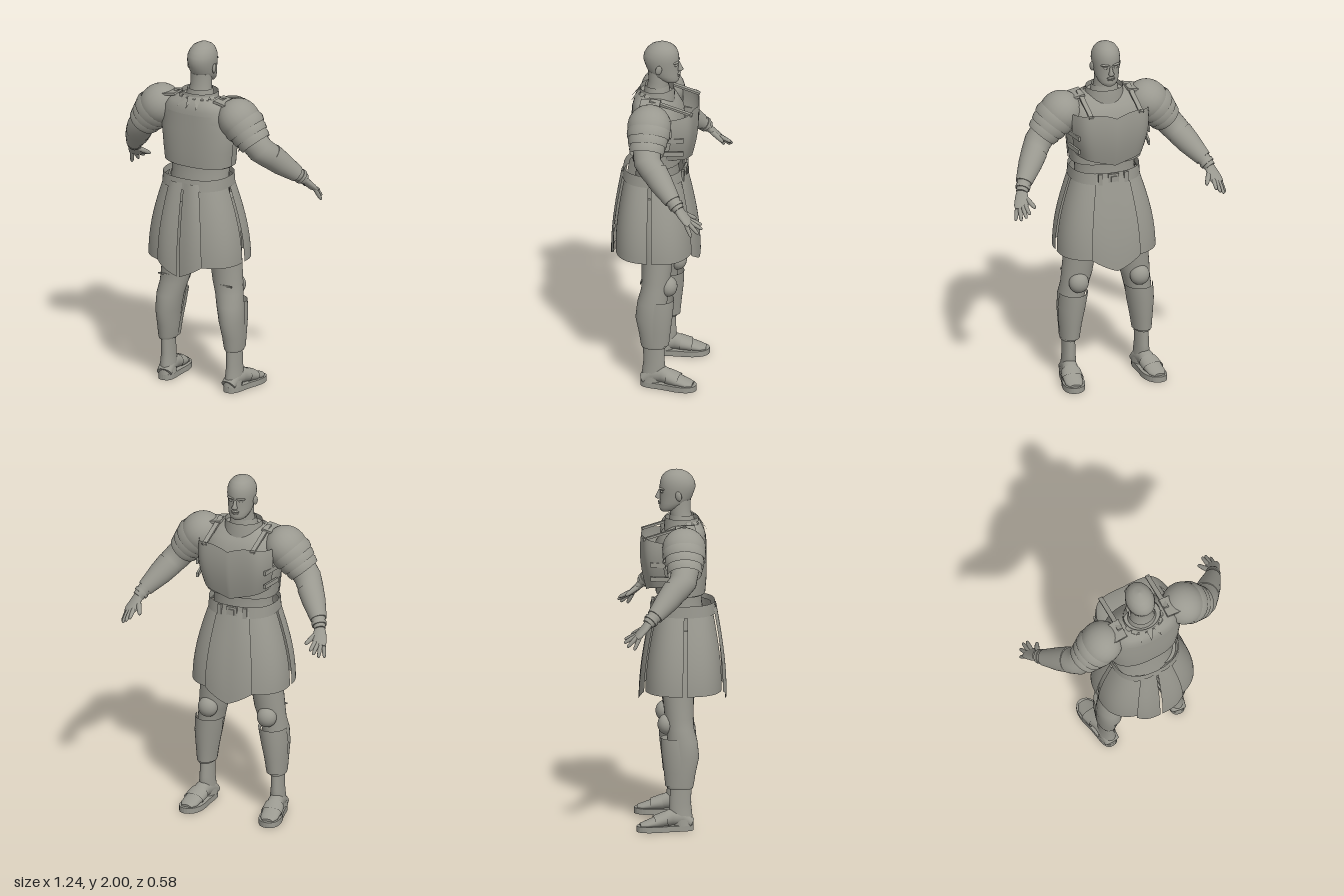
import * as THREE from 'three';

const armour = new THREE.MeshStandardMaterial({ color: 0x9a9990, side: THREE.DoubleSide });
armour.name = 'stone grey';

function part(name, geometry, pos = [0, 0, 0], scale = [1, 1, 1], rot = [0, 0, 0]) {
  const m = new THREE.Mesh(geometry, armour);
  m.name = name;
  m.position.set(...pos); m.scale.set(...scale); m.rotation.set(...rot);
  return m;
}

// Skin through elliptical sections [x, y, z, r1, r2]; level rings, or rings square to the path.
function loft(name, secs, { path = false, n = 28, e = 2, a0 = 0, a1 = Math.PI * 2, caps = true } = {}) {
  const full = a1 - a0 > 6.28, cols = full ? n : n + 1;
  const pos = [], idx = [], up = new THREE.Vector3(0, 1, 0);
  const at = i => new THREE.Vector3(...secs[Math.max(0, Math.min(secs.length - 1, i))].slice(0, 3));
  const pw = v => Math.sign(v) * Math.abs(v) ** (2 / e);
  secs.forEach((s, i) => {
    let A = new THREE.Vector3(1, 0, 0), B = new THREE.Vector3(0, 0, 1);
    if (path) {
      const t = at(i + 1).sub(at(i - 1)).normalize();
      A = t.clone().cross(up).normalize();
      B = A.clone().cross(t);
    }
    for (let j = 0; j < cols; j++) {
      const a = a0 + (a1 - a0) * j / n;
      const p = at(i).addScaledVector(A, s[3] * pw(Math.cos(a))).addScaledVector(B, (s[4] ?? s[3]) * pw(Math.sin(a)));
      pos.push(p.x, p.y, p.z);
    }
  });
  for (let i = 0; i < secs.length - 1; i++) for (let j = 0; j < n; j++) {
    const k = (j + 1) % cols, a = i * cols + j, b = i * cols + k;
    idx.push(a, a + cols, b, b, a + cols, b + cols);
  }
  if (caps && full) for (const i of [0, secs.length - 1]) {
    const c = pos.length / 3;
    pos.push(...at(i).toArray(), ...pos.slice(i * cols * 3, (i + 1) * cols * 3));
    for (let j = 0; j < n; j++) {
      const p = c + 1 + j, q = c + 1 + (j + 1) % n;
      i ? idx.push(c, q, p) : idx.push(c, p, q);
    }
  }
  return part(name, mesh(pos, idx));
}

function mesh(pos, idx) {
  const g = new THREE.BufferGeometry();
  g.setAttribute('position', new THREE.Float32BufferAttribute(pos, 3));
  g.setIndex(idx);
  g.computeVertexNormals();
  return g;
}

// Open plate from a rule f(u, v) -> [x, y, z]
function sheet(name, f, nu = 20, nv = 12) {
  const pos = [], idx = [];
  for (let i = 0; i <= nv; i++) for (let j = 0; j <= nu; j++) pos.push(...f(j / nu, i / nv));
  for (let i = 0; i < nv; i++) for (let j = 0; j < nu; j++) {
    const a = i * (nu + 1) + j, b = a + nu + 1;
    idx.push(a, b, a + 1, a + 1, b, b + 1);
  }
  return part(name, mesh(pos, idx));
}

const sphere = new THREE.SphereGeometry(1, 24, 16);
const box = new THREE.BoxGeometry(1, 1, 1);

function makeHead() {
  const g = new THREE.Group();
  g.name = 'head';
  g.add(loft('skull', [
    [0, 1.762, -0.045, 0.022, 0.02], [0, 1.772, -0.035, 0.042, 0.04], [0, 1.79, -0.018, 0.057, 0.062],
    [0, 1.815, 0.002, 0.066, 0.079], [0, 1.84, 0.012, 0.071, 0.089], [0, 1.87, 0.018, 0.075, 0.094],
    [0, 1.9, 0.022, 0.079, 0.1], [0, 1.93, 0.021, 0.078, 0.097], [0, 1.958, 0.018, 0.069, 0.085],
    [0, 1.98, 0.016, 0.053, 0.064], [0, 1.993, 0.015, 0.031, 0.038], [0, 2, 0.015, 0.002, 0.002]]));
  g.add(loft('neck', [[0, 1.62, 0.06, 0.085, 0.07], [0, 1.72, 0.045, 0.066, 0.06], [0, 1.77, 0.035, 0.06, 0.058], [0, 1.83, 0.035, 0.06, 0.06]]));
  g.add(loft('nose', [[0, 1.835, -0.082, 0.014, 0.013], [0, 1.843, -0.085, 0.017, 0.019],
    [0, 1.858, -0.08, 0.01, 0.016], [0, 1.886, -0.073, 0.007, 0.01]], { n: 12 }));
  g.add(part('upperLip', sphere, [0, 1.818, -0.077], [0.024, 0.006, 0.011]));
  g.add(part('lowerLip', sphere, [0, 1.807, -0.075], [0.02, 0.006, 0.011]));
  for (const s of [-1, 1]) {
    g.add(part('ear', sphere, [s * 0.078, 1.86, 0.025], [0.01, 0.028, 0.018], [-0.2, s * 0.3, 0]));
    g.add(part('brow', sphere, [s * 0.03, 1.893, -0.066], [0.026, 0.007, 0.012], [0, s * -0.35, 0]));
    g.add(part('eye', sphere, [s * 0.03, 1.877, -0.066], [0.014, 0.007, 0.008], [0, s * -0.35, 0]));
  }
  return g;
}

function makeTorso() {
  const g = new THREE.Group();
  g.name = 'torso';
  g.add(loft('waist', [[0, 1.1, 0.05, 0.18, 0.13], [0, 1.26, 0.04, 0.172, 0.115], [0, 1.34, 0.035, 0.18, 0.12]]));
  g.add(loft('cuirass', [[0, 1.31, 0.035, 0.2, 0.135], [0, 1.4, 0.035, 0.208, 0.14], [0, 1.5, 0.035, 0.224, 0.142],
    [0, 1.58, 0.04, 0.216, 0.14], [0, 1.64, 0.055, 0.2, 0.12], [0, 1.675, 0.065, 0.165, 0.1], [0, 1.7, 0.065, 0.115, 0.08]], { e: 2.5, n: 40 }));
  g.add(loft('backPlate', [[0, 1.315, 0.04, 0.206, 0.135], [0, 1.4, 0.04, 0.214, 0.142],
    [0, 1.52, 0.04, 0.226, 0.142], [0, 1.62, 0.045, 0.2, 0.135]], { e: 2.5, a0: 0.05, a1: Math.PI - 0.05 }));
  // keeled breastplate with a scalloped neckline and V-shaped hem
  g.add(sheet('breastplate', (s, v) => {
    const u = s * 2 - 1, w = Math.abs(u);
    const low = 1.32 + 0.05 * w, high = 1.615 + 0.03 * Math.abs(Math.sin(u * Math.PI * 0.9));
    return [u * (0.195 + 0.03 * Math.sin(v * 2.2)), low + (high - low) * v,
      -0.137 - 0.05 * Math.sin(0.3 + v * 1.7) + 0.02 * w + 0.1 * w ** 8];
  }, 40, 14));
  g.add(loft('collar', [[0, 1.64, 0.05, 0.12, 0.105], [0, 1.69, 0.045, 0.108, 0.098], [0, 1.73, 0.045, 0.105, 0.093]], { caps: false }));
  g.add(loft('innerCollar', [[0, 1.68, 0.045, 0.085, 0.075], [0, 1.745, 0.045, 0.072, 0.066]], { caps: false }));
  // pointed trim fanned round the back of the neck
  for (let i = 0; i < 7; i++) {
    const a = 0.35 + i * (Math.PI - 0.7) / 6;
    const p = (r, da, y) => [r * 1.12 * Math.cos(a + da), y, 0.05 + r * Math.sin(a + da)];
    g.add(part('collarPoint', mesh([...p(0.095, -0.19, 1.715), ...p(0.095, 0.19, 1.715), ...p(0.14, 0.06, 1.655)], [0, 1, 2])));
  }
  for (const s of [-1, 1]) {
    g.add(part('shoulderStrap', box, [s * 0.145, 1.668, -0.055], [0.026, 0.012, 0.25], [-0.3, 0, 0]));
    for (const y of [1.42, 1.5])
      g.add(part('sideStrap', box, [s * 0.215, y, -0.07], [0.012, 0.025, 0.13], [0, s * 0.18, 0]));
  }
  return g;
}

function makeSkirt() {
  const g = new THREE.Group();
  g.name = 'skirt';
  const pw = v => Math.sign(v) * Math.abs(v) ** 0.84;
  // flared panel spanning two angles, with optional pointed hem
  const panel = (name, a0, a1, out, hem) => g.add(sheet(name, (u, v) => {
    const a = a0 + (a1 - a0) * u, low = hem(u), d = 1 - v;
    const rise = Math.sin(d * Math.PI * 0.5), puff = out + 0.008 * Math.sin(u * Math.PI);
    return [pw(Math.cos(a)) * (0.18 + 0.1 * rise + puff), low + (1.235 - low) * v,
      0.05 + 0.01 * v + pw(Math.sin(a)) * (0.155 + 0.065 * rise + puff)];
  }, 18, 14));
  const flat = () => 0.765, P = Math.PI;
  for (const a of [0.02, P / 2 + 0.3, P + 0.02, P * 1.5 + 0.3]) panel('sidePanel', a, a + P / 2 - 0.34, 0, flat);
  panel('backPanel', P / 2 - 0.43, P / 2 - 0.012, 0.016, u => 0.77 - 0.07 * u);
  panel('backPanel', P / 2 + 0.012, P / 2 + 0.43, 0.016, u => 0.7 + 0.07 * u);
  panel('frontPanel', P * 1.5 - 0.43, P * 1.5 + 0.43, 0.016, u => 0.7 + 0.14 * Math.abs(u - 0.5));
  g.add(loft('belt', [[0, 1.195, 0.06, 0.2, 0.175], [0, 1.26, 0.06, 0.196, 0.168]], { caps: false, e: 2.4, n: 40 }));
  g.add(part('buckle', box, [0, 1.228, -0.117], [0.06, 0.058, 0.014]));
  g.add(part('buckleCentre', box, [0, 1.228, -0.126], [0.032, 0.032, 0.009]));
  for (const s of [-1, 1]) g.add(part('beltLoop', box, [s * 0.075, 1.228, -0.112], [0.022, 0.062, 0.014], [0, s * -0.12, 0]));
  return g;
}

function makeArm() {
  const g = new THREE.Group();
  g.name = 'arm';
  g.add(loft('armSleeve', [[0.2, 1.63, 0.05, 0.09], [0.33, 1.515, 0.055, 0.08], [0.39, 1.44, 0.04, 0.076],
    [0.42, 1.405, 0.005, 0.072], [0.465, 1.35, -0.05, 0.06], [0.53, 1.27, -0.13, 0.038], [0.55, 1.24, -0.16, 0.032]], { path: true }));
  g.add(loft('bracer', [[0.425, 1.4, -0.005, 0.073], [0.465, 1.35, -0.05, 0.066], [0.525, 1.278, -0.12, 0.046]], { path: true }));
  g.add(loft('wristBand', [[0.533, 1.265, -0.135, 0.042], [0.542, 1.253, -0.147, 0.041]], { path: true }));
  // domed shoulder guard and overlapping bands
  g.add(part('shoulderDome', sphere, [0.255, 1.6, 0.05], [0.115, 0.122, 0.122], [0, 0, 0.78]));
  for (let i = 0; i < 3; i++) {
    const x = 0.275 + i * 0.028, y = 1.582 - i * 0.034, r = 0.119 - i * 0.011;
    g.add(loft('shoulderBand', [[x, y, 0.05, r, r - 0.008], [x + 0.017, y - 0.018, 0.05, r + 0.002, r - 0.002],
      [x + 0.034, y - 0.038, 0.05, r - 0.004, r - 0.01]], { path: true, caps: false }));
  }
  g.add(part('shoulderTab', box, [0.165, 1.69, 0.06], [0.08, 0.014, 0.11], [0, 0, -0.2]));
  // hand
  g.add(loft('palm', [[0.545, 1.247, -0.152, 0.028, 0.024], [0.556, 1.218, -0.175, 0.036, 0.02],
    [0.57, 1.182, -0.21, 0.04, 0.017], [0.575, 1.168, -0.226, 0.034, 0.012]], { path: true }));
  const fingers = [[0.55, 1.185, -0.222, 0.545, 1.155, -0.288], [0.565, 1.176, -0.228, 0.567, 1.138, -0.293],
    [0.582, 1.17, -0.224, 0.592, 1.118, -0.276], [0.594, 1.168, -0.208, 0.612, 1.106, -0.238],
    [0.537, 1.215, -0.182, 0.5, 1.172, -0.25]];
  fingers.forEach(([x, y, z, X, Y, Z], i) => {
    const r = i === 4 ? 0.014 : 0.0115, at = (t, k) => [x + (X - x) * t, y + (Y - y) * t, z + (Z - z) * t, r * k];
    g.add(loft(i === 4 ? 'thumb' : 'finger', [at(-0.15, 1), at(0.3, 1.05), at(0.8, 0.85), at(0.96, 0.55), at(1, 0.1)], { path: true, n: 10 }));
  });
  return g;
}

function makeLeg() {
  const g = new THREE.Group();
  g.name = 'leg';
  g.add(loft('trouserLeg', [[0.215, 0.235, 0.03, 0.045, 0.068], [0.212, 0.25, 0.03, 0.052, 0.074], [0.21, 0.32, 0.035, 0.058, 0.08],
    [0.205, 0.41, 0.045, 0.067, 0.09], [0.194, 0.5, 0.043, 0.076, 0.083], [0.178, 0.57, 0.03, 0.08, 0.077],
    [0.167, 0.63, 0.025, 0.087, 0.08], [0.15, 0.77, 0.02, 0.092, 0.088], [0.125, 0.95, 0.03, 0.11, 0.11], [0.095, 1.12, 0.045, 0.1, 0.12]]));
  g.add(loft('greave', [[0.21, 0.25, 0.025, 0.055, 0.078], [0.207, 0.33, 0.025, 0.064, 0.086],
    [0.2, 0.43, 0.022, 0.077, 0.095], [0.19, 0.52, 0.012, 0.08, 0.09]], { a0: Math.PI * 0.98, a1: Math.PI * 2.02 }));
  g.add(part('kneePad', sphere, [0.178, 0.592, -0.045], [0.056, 0.058, 0.05]));
  g.add(part('kneeStrap', box, [0.2, 0.625, 0.103], [0.075, 0.008, 0.006]));
  // sandalled foot, turned slightly outward
  const foot = new THREE.Group();
  foot.name = 'foot';
  foot.position.set(0.213, 0, 0.03);
  foot.rotation.y = -0.1 * -1 * -1;
  foot.add(loft('ankle', [[0, 0.03, 0.012, 0.046, 0.06], [0, 0.1, 0, 0.041, 0.066], [0, 0.15, 0, 0.037, 0.06], [0, 0.25, 0.003, 0.036, 0.06]]));
  foot.add(loft('instep', [[0, 0.04, 0.06, 0.044, 0.03], [0, 0.07, 0.01, 0.044, 0.05], [0.003, 0.075, -0.05, 0.043, 0.048],
    [0.008, 0.052, -0.13, 0.054, 0.03], [0.01, 0.038, -0.19, 0.05, 0.02], [0.01, 0.034, -0.225, 0.03, 0.012]], { path: true }));
  const sole = new THREE.Shape();
  sole.moveTo(0, 0.075);
  sole.bezierCurveTo(0.06, 0.075, 0.045, 0, 0.058, -0.08);
  sole.bezierCurveTo(0.085, -0.19, 0.06, -0.245, 0.012, -0.245);
  sole.bezierCurveTo(-0.05, -0.24, -0.068, -0.17, -0.052, -0.08);
  sole.bezierCurveTo(-0.042, 0, -0.06, 0.075, 0, 0.075);
  const soleGeo = new THREE.ExtrudeGeometry(sole, { depth: 0.032, bevelEnabled: false, curveSegments: 10 });
  foot.add(part('sole', soleGeo.rotateX(Math.PI / 2).translate(0, 0.032, 0)));
  foot.add(loft('toeStrap', [[0.006, 0.066, -0.08, 0.055, 0.043], [0.008, 0.052, -0.145, 0.06, 0.032]], { path: true, caps: false }));
  foot.add(loft('heelCup', [[0, 0.03, 0.012, 0.05, 0.063], [0, 0.065, 0.008, 0.047, 0.063]], { a0: -0.2, a1: Math.PI + 0.2 }));
  g.add(foot);
  return g;
}

export function createModel() {
  const model = new THREE.Group();
  model.name = 'armouredFigure';
  model.add(makeHead(), makeTorso(), makeSkirt());
  for (const make of [makeArm, makeLeg]) for (const s of [1, -1]) {
    const limb = make();
    limb.scale.x = s;
    model.add(limb);
  }
  return model;
}
